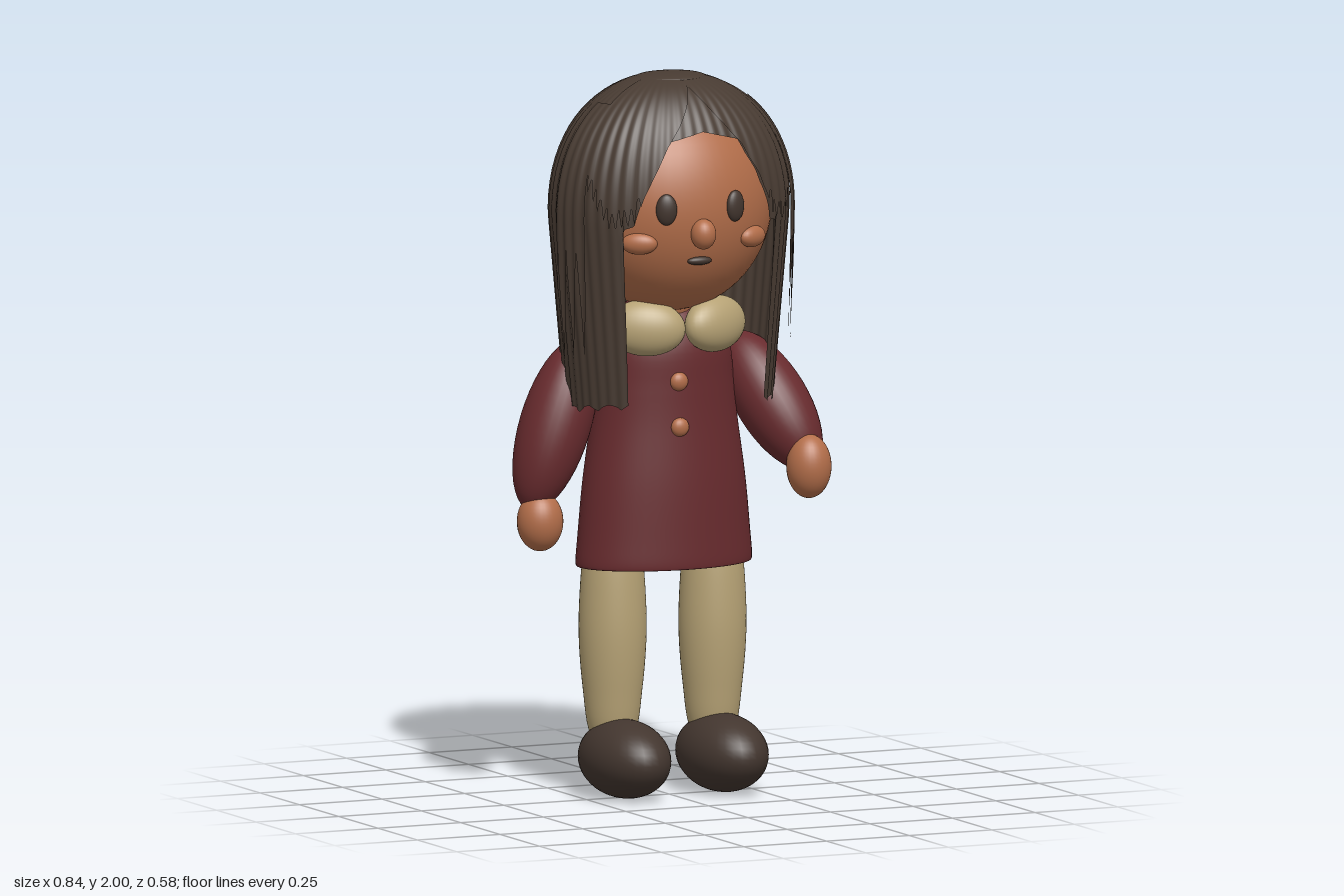
import * as THREE from 'three';

const mat = (name, color, side = THREE.FrontSide) => {
  const m = new THREE.MeshStandardMaterial({ color, side });
  m.name = name;
  return m;
};

export function createModel() {
  const group = new THREE.Group();
  const skin = mat('skin', 0xb36e4a);
  const dressRed = mat('dressRed', 0x682b2e);
  const cream = mat('cream', 0xb6a275);
  const hairBrown = mat('hairBrown', 0x483b32, THREE.DoubleSide);
  const darkBrown = mat('darkBrown', 0x43362f);

  const add = (name, geometry, material) => {
    const mesh = new THREE.Mesh(geometry, material);
    mesh.name = name;
    group.add(mesh);
    return mesh;
  };
  const ball = (name, material, pos, radii, seg = 32) => {
    const mesh = add(name, new THREE.SphereGeometry(1, seg, Math.round(seg * 0.7)), material);
    mesh.position.set(...pos);
    mesh.scale.set(...radii);
    return mesh;
  };
  // Piecewise linear lookup through [x, y] pairs
  const lookup = (pts, x) => {
    for (let i = 1; i < pts.length; i++) {
      const [x0, y0] = pts[i - 1], [x1, y1] = pts[i];
      if (x <= x1) return y0 + (y1 - y0) * Math.max(0, (x - x0) / (x1 - x0));
    }
    return pts[pts.length - 1][1];
  };
  const lathe = (pairs, samples) => new THREE.LatheGeometry(
    new THREE.SplineCurve(pairs.map(p => new THREE.Vector2(...p))).getPoints(samples), 48, Math.PI);

  // Shoes and legs
  for (const [side, x, z] of [['right', -0.14, -0.07], ['left', 0.155, -0.055]]) {
    ball(side + 'Shoe', darkBrown, [x, 0.113, 0.01], [0.113, 0.108, 0.18]);
    const leg = add(side + 'Leg', lathe(
      [[0.001, 0.15], [0.06, 0.17], [0.082, 0.3], [0.093, 0.45], [0.088, 0.6], [0.075, 0.72]], 30), cream);
    leg.position.set(x + 0.002, 0, z);
  }

  // Dress: oval, flared, with a recessed underside
  const dressGeo = lathe([[0.001, 0.69], [0.15, 0.68], [0.235, 0.645], [0.25, 0.636], [0.256, 0.65],
    [0.25, 0.72], [0.235, 0.87], [0.212, 1.03], [0.2, 1.14], [0.185, 1.25], [0.13, 1.34], [0.06, 1.38]], 60);
  const dp = dressGeo.attributes.position;
  for (let i = 0; i < dp.count; i++) {
    dp.setZ(i, dp.getZ(i) * lookup([[0.64, 0.63], [1.1, 0.72], [1.38, 0.8]], dp.getY(i)));
  }
  dressGeo.computeVertexNormals();
  add('dress', dressGeo, dressRed).position.set(0.012, 0, -0.06);
  [[1.155, 0.083], [1.03, 0.09]].forEach(([y, z]) =>
    ball('button', skin, [-0.01, y, z], [0.026, 0.026, 0.018], 20));

  // Collar lobes
  for (const s of [-1, 1]) {
    const lobe = ball('collarLobe', cream, [s * 0.105, 1.307, 0.07], [0.11, 0.077, 0.055]);
    lobe.rotation.set(-0.15, s * 0.4, s * 0.12);
  }

  // Arms: long ovals from shoulder to wrist
  const arm = (name, from, to, r) => {
    const a = new THREE.Vector3(...from), b = new THREE.Vector3(...to);
    const dir = a.clone().sub(b);
    const mid = a.add(b).multiplyScalar(0.5);
    const mesh = ball(name, dressRed, mid.toArray(), [r, dir.length() / 2, r]);
    mesh.quaternion.setFromUnitVectors(new THREE.Vector3(0, 1, 0), dir.normalize());
  };
  arm('leftArm', [0.235, 1.25, -0.1], [0.375, 0.9, 0.12], 0.1);
  arm('rightArm', [-0.215, 1.26, -0.11], [-0.38, 0.8, -0.09], 0.098);
  ball('leftHand', skin, [0.355, 0.907, 0.142], [0.062, 0.088, 0.062]);
  ball('rightHand', skin, [-0.355, 0.77, -0.075], [0.064, 0.082, 0.062]);

  // Neck, head and face
  ball('neck', skin, [0, 1.37, -0.04], [0.09, 0.1, 0.09]);
  const H = { c: [-0.005, 1.645, 0.015], r: [0.288, 0.3, 0.24] };
  ball('head', skin, H.c, H.r, 48);
  const onFace = (name, m, x, y, rx, ry, rz, out = 0) => {
    const dx = (x - H.c[0]) / H.r[0], dy = (y - H.c[1]) / H.r[1];
    const z = H.c[2] + H.r[2] * Math.sqrt(1 - dx * dx - dy * dy);
    ball(name, m, [x, y, z + out], [rx, ry, rz], 24).rotation.y = dx * 0.9;
  };
  onFace('rightEye', darkBrown, -0.12, 1.655, 0.029, 0.043, 0.016);
  onFace('leftEye', darkBrown, 0.084, 1.655, 0.029, 0.043, 0.016);
  onFace('rightCheek', skin, -0.182, 1.56, 0.05, 0.03, 0.025);
  onFace('leftCheek', skin, 0.155, 1.562, 0.05, 0.03, 0.025);
  onFace('nose', skin, -0.019, 1.585, 0.035, 0.042, 0.034, 0.008);
  onFace('mouth', darkBrown, -0.017, 1.508, 0.036, 0.012, 0.014);

  // Hair surface: a domed oval that narrows downwards; angle 0 is the front
  const hairPoint = (a, y, lift, flare) => {
    const h = Math.max(0, (y - 1.62) / 0.38);
    const s = Math.pow(Math.max(0, 1 - Math.pow(h, 2.2)), 1 / 2.2);
    const k = Math.max(0, (1.62 - y) / 0.58) * (1 - flare);
    const ripple = 1 + 0.007 * Math.cos(a * 52) * Math.min(1, s * 1.2);
    const rx = (0.34 * s - 0.055 * k) * ripple + lift * s;
    const rz = ((Math.cos(a) > 0 ? 0.262 : 0.282) * s - 0.022 * k) * ripple + lift * s;
    return [Math.sin(a) * rx, y, Math.cos(a) * rz];
  };
  // A sheet of hair from one angle to another, between a top and a lower edge
  const hairSheet = (name, a0, a1, cols, top, edge, lift = 0, flare = 0) => {
    const rows = 30, pos = [], index = [];
    for (let i = 0; i <= cols; i++) {
      const a = a0 + (a1 - a0) * i / cols;
      const low = edge(Math.abs(a));
      for (let j = 0; j <= rows; j++) {
        pos.push(...hairPoint(a, top - (top - low) * (j / rows) ** 2, lift, flare));
        if (i < cols && j < rows) {
          const p = i * (rows + 1) + j, q = p + rows + 1;
          index.push(p, p + 1, q, q, p + 1, q + 1);
        }
      }
    }
    const g = new THREE.BufferGeometry();
    g.setAttribute('position', new THREE.Float32BufferAttribute(pos, 3));
    g.setIndex(index);
    g.computeVertexNormals();
    return add(name, g, hairBrown);
  };
  const zigzag = (a, n) => Math.abs(((a * n) % 1) * 2 - 1);

  // Long hair framing the face, with a scalloped hem
  const frame = [[0, 1.86], [0.365, 1.835], [0.56, 1.7], [0.65, 1.61], [0.75, 1.6],
    [0.78, 1.1], [1.5, 1.08], [3.15, 1.04]];
  hairSheet('longHair', -Math.PI, Math.PI, 360, 2, a =>
    lookup(frame, a) + (a > 0.78 ? 0.016 * Math.abs(Math.sin(a * 11)) : 0));

  // Fringe parted in the middle, ending in short points
  const fringe = [[0, 1.975], [0.1, 1.94], [0.365, 1.825], [0.56, 1.69], [0.64, 1.61], [0.85, 1.59], [1.2, 1.75]];
  const fringeEdge = a => lookup(fringe, a) + (a > 0.58 ? 0.06 * zigzag(a, 18) : 0);
  hairSheet('rightFringe', -1.2, -0.01, 110, 1.99, fringeEdge, 0.012);
  hairSheet('leftFringe', 0.01, 1.2, 110, 1.99, fringeEdge, 0.012);

  // Loose pointed strands hanging at the sides
  hairSheet('rightStrands', -1.5, -1.1, 60, 1.93, a => 1.24 + 0.3 * zigzag(a, 7.5), 0.014, 0.75);
  hairSheet('leftStrands', 0.98, 1.38, 60, 1.93, a => 1.26 + 0.3 * zigzag(a, 7.5), 0.014, 0.75);

  // Flat crown where the hair meets
  ball('crown', hairBrown, [0.003, 1.986, 0], [0.1, 0.014, 0.084]);

  return group;
}
